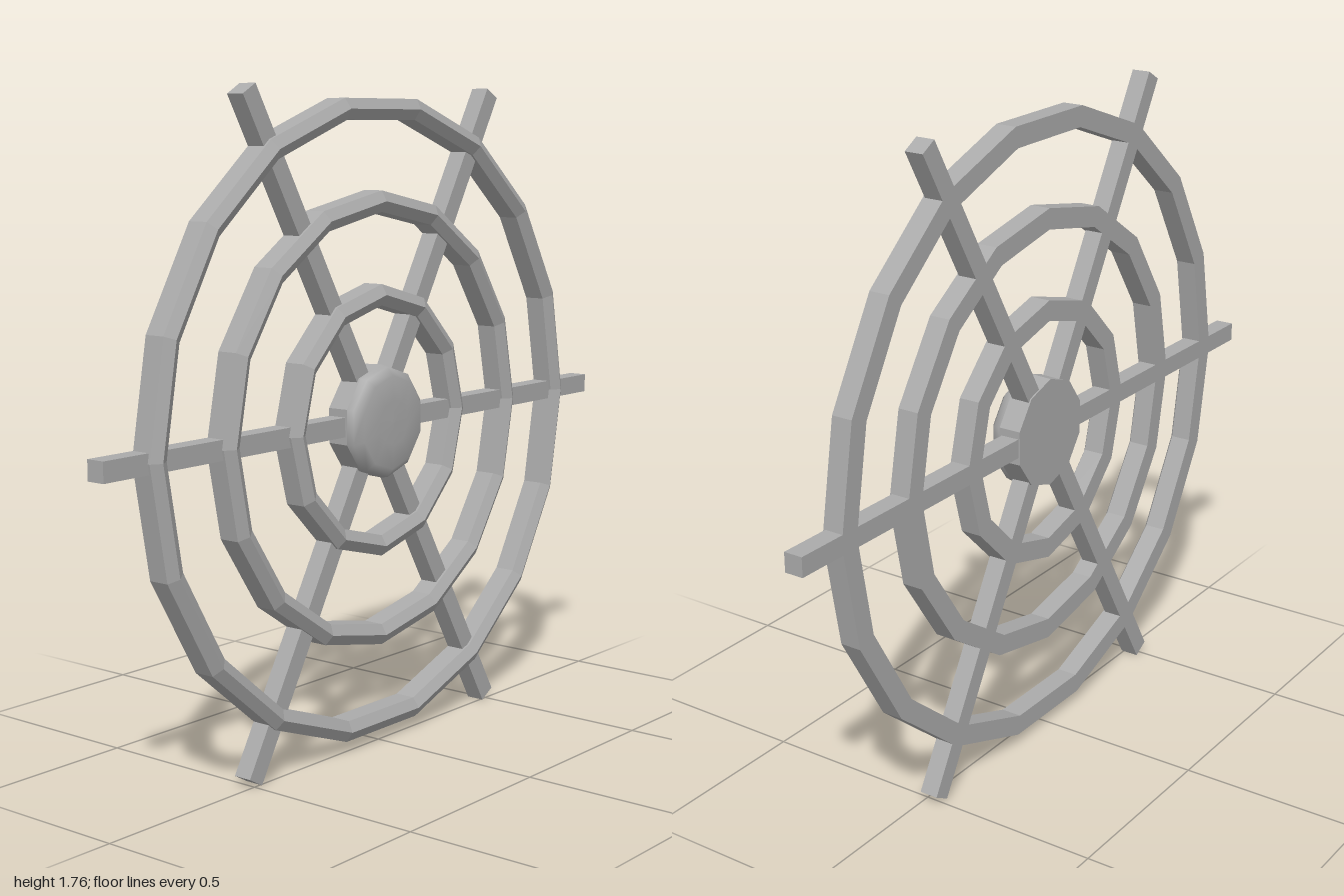
import * as THREE from 'three';

const BACK = -0.046;

export function createModel() {
  const grey = new THREE.MeshStandardMaterial({ color: 0xaaaaaa });
  grey.name = 'grey';
  grey.flatShading = true;
  const smoothGrey = grey.clone();
  smoothGrey.flatShading = false;

  const model = new THREE.Group();
  model.name = 'spokedWheel';
  const wheel = new THREE.Group();
  wheel.name = 'wheel';
  wheel.position.y = 0.878;
  model.add(wheel);

  const add = (name, geometry, material = grey) => {
    const mesh = new THREE.Mesh(geometry, material);
    mesh.name = name;
    wheel.add(mesh);
    return mesh;
  };

  // Turn a profile of [radius, z] pairs about the z axis
  const turn = (profile, sides, start = 0) =>
    new THREE.LatheGeometry(profile.map(([r, z]) => new THREE.Vector2(r, z)), sides, start)
      .rotateX(Math.PI / 2);

  // Three bars crossing at the centre make six spokes
  for (let i = 0; i < 3; i++) {
    const bar = add('spokeBar', new THREE.BoxGeometry(2, 0.052, 0.052));
    bar.position.z = BACK + 0.026;
    bar.rotation.z = (i * Math.PI) / 3;
  }

  // Concentric rings: flat back, straight walls, ridged front
  const ring = (name, radius, sides, start) => {
    const inner = radius - 0.056;
    add(name, turn([
      [radius, BACK], [radius, 0.012], [radius - 0.028, 0.029],
      [inner, 0.012], [inner, BACK], [radius, BACK],
    ], sides, start));
  };
  ring('outerRing', 0.86, 18, Math.PI / 18);
  ring('middleRing', 0.61, 16, 0);
  ring('innerRing', 0.365, 12, 0);

  // Hub: flat back plate, straight wall and rounded front
  add('hubBack', turn([[0, -0.05], [0.15, -0.05], [0.152, 0.012]], 10));
  add('hubFront', turn([[0.152, 0.012], [0.148, 0.032], [0.125, 0.05], [0.06, 0.053], [0, 0.054]], 10), smoothGrey);

  return model;
}
